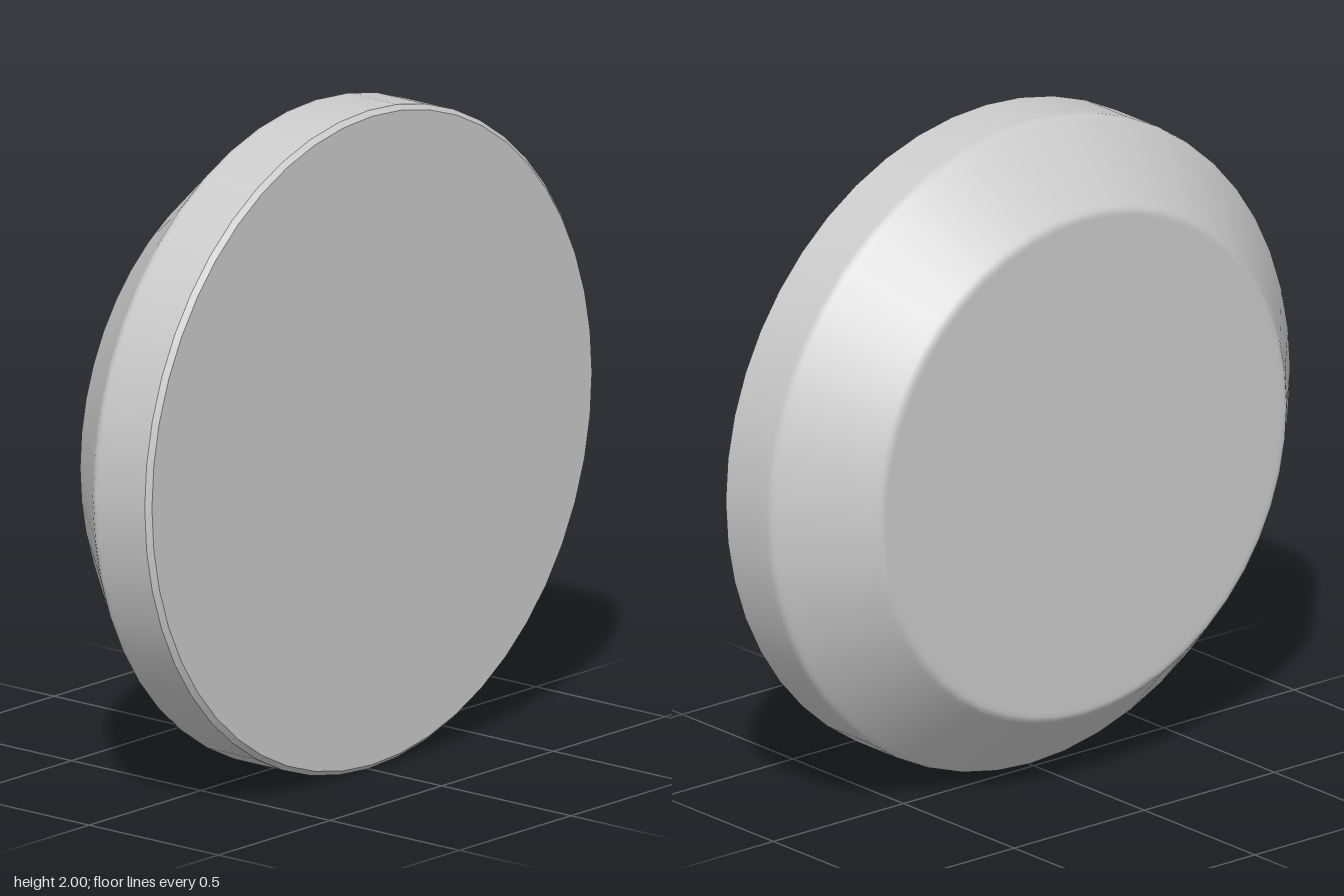
import * as THREE from 'three';
import { toCreasedNormals } from 'three/addons/utils/BufferGeometryUtils.js';

const SIDES = 48;

export function createModel() {
  const group = new THREE.Group();
  group.name = 'bevelledDisc';

  // Half profile as [radius, z], from the centre of the back to the centre of the front
  const profile = [
    [0, -0.23], [0.755, -0.23],                   // flat back
    [0.767, -0.23], [0.778, -0.227], [0.787, -0.219], // rounded back edge
    [0.796, -0.209], [0.98, -0.006],              // sloping back
    [0.99, 0.005], [0.997, 0.014], [1, 0.026],    // softened shoulder
    [1, 0.036], [1, 0.215],                       // straight rim
    [0.985, 0.23], [0, 0.23],                     // front chamfer and flat face
  ].map(([r, z]) => new THREE.Vector2(r, z));

  // Turn the profile, then lay its axis along z
  const lathe = new THREE.LatheGeometry(profile, SIDES).rotateX(Math.PI / 2);
  const disc = new THREE.Mesh(
    toCreasedNormals(lathe, 0.6),
    new THREE.MeshStandardMaterial({ color: 0xcccccc })
  );
  disc.name = 'disc';
  disc.position.y = 1;
  group.add(disc);
  return group;
}
